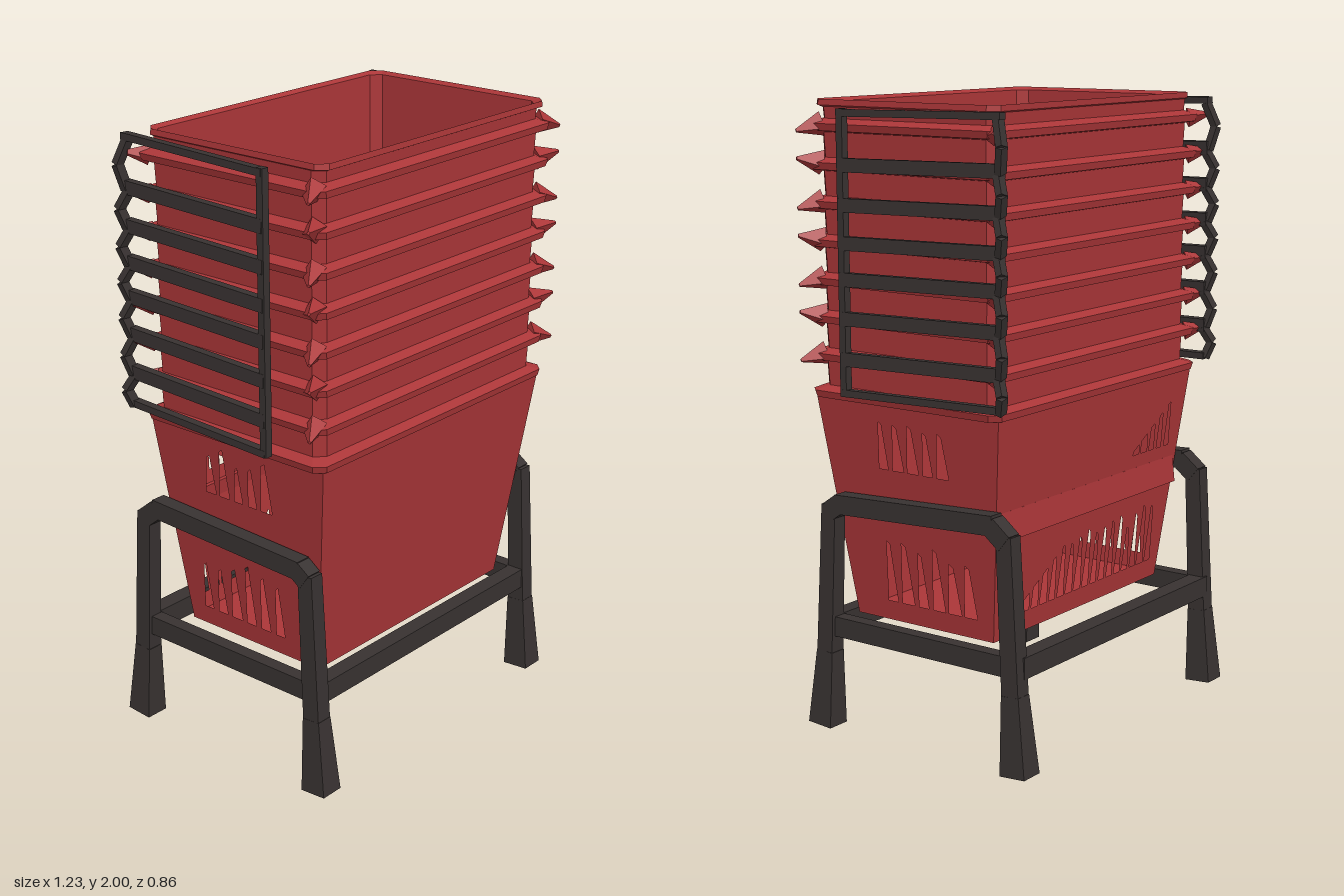
import * as THREE from 'three';

const red = new THREE.MeshStandardMaterial({ name: 'basketRed', color: 0xab3638, side: THREE.DoubleSide, flatShading: true });
const dark = new THREE.MeshStandardMaterial({ name: 'frameBlack', color: 0x383231, side: THREE.DoubleSide, flatShading: true });

const V = (x, y, z) => new THREE.Vector3(x, y, z);
const UP = V(0, 1, 0);

let seed = 7;
function rand() {
  seed = (seed * 16807) % 2147483647;
  return seed / 2147483647;
}

function add(group, name, geometry, material) {
  const mesh = new THREE.Mesh(geometry, material);
  mesh.name = name;
  group.add(mesh);
  return mesh;
}

// Four-sided bar from a to b; w is its local x width, d its local z depth
function beam(group, name, a, b, w, d, material, taper = 1) {
  const dir = b.clone().sub(a);
  const geo = new THREE.CylinderGeometry(Math.SQRT1_2 * taper, Math.SQRT1_2, dir.length(), 4).rotateY(Math.PI / 4);
  geo.scale(w, 1, d);
  const mesh = add(group, name, geo, material);
  mesh.quaternion.setFromUnitVectors(UP, dir.normalize());
  mesh.position.copy(a).add(b).multiplyScalar(0.5);
  return mesh;
}

// Surface through chamfered rectangles given as [y, halfX, backZ, frontZ]
function loft(levels, chamfer = 0.03) {
  const loops = levels.map(([y, x, b, f]) => [
    [x - chamfer, f], [x, f - chamfer], [x, b + chamfer], [x - chamfer, b],
    [-x + chamfer, b], [-x, b + chamfer], [-x, f - chamfer], [-x + chamfer, f],
  ].map(([px, pz]) => [px, y, pz]));
  const pos = [];
  for (let i = 0; i + 1 < loops.length; i++) {
    for (let j = 0; j < 8; j++) {
      const k = (j + 1) % 8;
      const [a, b, c, d] = [loops[i][j], loops[i][k], loops[i + 1][k], loops[i + 1][j]];
      pos.push(...a, ...b, ...c, ...a, ...c, ...d);
    }
  }
  const geo = new THREE.BufferGeometry();
  geo.setAttribute('position', new THREE.Float32BufferAttribute(pos, 3));
  geo.computeVertexNormals();
  return geo;
}

// A row of irregular pointed slits: [from u, to u, low y, high y, count]
function slits([u0, u1, y0, y1, n]) {
  const step = (u1 - u0) / n;
  return Array.from({ length: n }, (_, i) => {
    const u = u0 + (i + 0.5) * step, w = step * (0.28 + 0.14 * rand());
    const top = y1 - (y1 - y0) * 0.3 * rand();
    return new THREE.Path([
      new THREE.Vector2(u - w, y0), new THREE.Vector2(u + w, y0),
      new THREE.Vector2(u + w * 0.4, top), new THREE.Vector2(u - w * 0.2, top - 0.01),
    ]);
  });
}

const Y0 = 0.37, Y1 = 1.08;
const rise = (y) => (y - Y0) / (Y1 - Y0);

// Sloping wall with slits, laid out as (u, y) and then placed by a rule
function wall(group, name, low, high, rows, place) {
  const shape = new THREE.Shape([
    new THREE.Vector2(low[0], Y0), new THREE.Vector2(low[1], Y0),
    new THREE.Vector2(high[1], Y1), new THREE.Vector2(high[0], Y1),
  ]);
  rows.forEach((row) => shape.holes.push(...slits(row)));
  const geo = new THREE.ShapeGeometry(shape);
  const p = geo.attributes.position;
  for (let i = 0; i < p.count; i++) p.setXYZ(i, ...place(p.getX(i), p.getY(i), rise(p.getY(i))));
  geo.computeVertexNormals();
  add(group, name, geo, red);
}

function bottomBasket() {
  const g = new THREE.Group();
  g.name = 'bottomBasket';
  wall(g, 'frontWall', [-0.46, 0.46], [-0.54, 0.54],
    [[-0.34, 0.3, 0.43, 0.58, 12], [-0.17, -0.04, 0.93, 1.04, 3], [0.04, 0.22, 0.93, 1.04, 4],
      [-0.45, -0.38, 0.52, 0.85, 2], [0.38, 0.45, 0.52, 0.8, 2]],
    (u, y, t) => [u, y, 0.31 + 0.09 * t]);
  wall(g, 'backWall', [-0.46, 0.46], [-0.54, 0.54],
    [[-0.42, 0.42, 0.43, 0.64, 18], [-0.46, 0.46, 0.83, 1.04, 20]],
    (u, y, t) => [u, y, -0.23 - 0.08 * t]);
  for (const s of [-1, 1]) {
    wall(g, 'sideWall', [-0.23, 0.31], [-0.31, 0.4],
      [[-0.18, 0.19, 0.43, 0.66, 6], [-0.11, 0.18, 0.87, 1.04, 5]],
      (u, y, t) => [s * (0.46 + 0.08 * t), y, u]);
  }
  const floor = add(g, 'floor', new THREE.BoxGeometry(0.92, 0.01, 0.54), red);
  floor.position.set(0, Y0, 0.04);
  const band = add(g, 'backBand', new THREE.BoxGeometry(0.98, 0.09, 0.012), red);
  band.position.set(0, 0.74, -0.276);
  band.rotation.x = 0.11;
  return g;
}

function basketStack() {
  const g = new THREE.Group();
  g.name = 'nestedBaskets';
  const step = 0.118;
  for (let i = 0; i < 8; i++) {
    const y = 1.08 + i * step, last = i === 7;
    // Flared lip followed by the visible collar of the basket above
    add(g, 'rim', loft([
      [y - 0.005, 0.535, -0.295, 0.38],
      [y, 0.562, -0.318, 0.408],
      [y + 0.022, 0.568, -0.322, 0.412],
      [y + 0.036, 0.532, -0.292, 0.382],
      [y + (last ? 0.08 : step - 0.005), 0.535, -0.295, 0.385],
    ]), red);
    // Pointed corner tabs
    if (i > 0) {
      for (const s of [-1, 1]) {
        beam(g, 'cornerTab', V(s * 0.535, y + 0.02, 0.365), V(s * 0.605, y + (i % 2 ? 0.0 : 0.035), 0.405), 0.06, 0.05, red, 0.15);
        beam(g, 'rearTab', V(s * 0.53, y + 0.01, -0.29), V(s * 0.58, y + 0.02, -0.33), 0.05, 0.04, red, 0.3);
      }
    }
  }
  add(g, 'topRim', loft([
    [1.975, 0.53, -0.29, 0.385], [1.982, 0.542, -0.3, 0.402],
    [2.0, 0.54, -0.3, 0.4], [1.99, 0.525, -0.285, 0.38],
  ]), red);
  add(g, 'innerLining', loft([[1.09, 0.513, -0.265, 0.36], [1.99, 0.525, -0.285, 0.38]]), red);
  return g;
}

function sideHandles(s) {
  const g = new THREE.Group();
  g.name = s > 0 ? 'leftHandles' : 'rightHandles';
  const heights = [1.115, 1.22, 1.345, 1.465, 1.575, 1.69, 1.81, 1.965];
  heights.forEach((y, i) => {
    const thick = i === 0 || i === 7 ? 0.022 : 0.042;
    beam(g, 'handleBar', V(s * 0.598, y, 0.235), V(s * 0.572, y + 0.008, -0.35), 0.03, thick, dark);
    // Crooked rear arms joining neighbouring handles
    if (i < 7) {
      const mid = (y + heights[i + 1]) / 2;
      beam(g, 'rearArm', V(s * 0.575, y, -0.345), V(s * 0.592, mid, -0.362), 0.03, 0.022, dark);
      beam(g, 'rearArm', V(s * 0.592, mid, -0.362), V(s * 0.572, heights[i + 1], -0.335), 0.03, 0.022, dark);
    }
  });
  beam(g, 'frontPost', V(s * 0.598, 1.105, 0.228), V(s * 0.598, 1.978, 0.228), 0.026, 0.024, dark);
  return g;
}

function stand() {
  const g = new THREE.Group();
  g.name = 'stand';
  for (const s of [-1, 1]) {
    const x = s * 0.538;
    // Legs with flared feet
    for (const [f, zTop, yTop] of [[1, 0.343, 0.735], [-1, -0.342, 0.74]]) {
      const knee = V(x, 0.25, f * 0.368);
      beam(g, 'foot', V(x, 0, f * 0.385), knee, 0.08, 0.092, dark, 0.7);
      beam(g, 'leg', knee, V(x, yTop, zTop), 0.055, 0.062, dark, 0.9);
    }
    // Bent top rail
    beam(g, 'railBend', V(x, 0.715, 0.343), V(x, 0.745, 0.3), 0.052, 0.062, dark);
    beam(g, 'topRail', V(x, 0.742, 0.315), V(x, 0.768, -0.3), 0.052, 0.062, dark);
    beam(g, 'railBend', V(x, 0.768, -0.285), V(x, 0.72, -0.345), 0.052, 0.062, dark);
    beam(g, 'sideRail', V(x * 0.985, 0.335, 0.36), V(x * 0.985, 0.335, -0.365), 0.045, 0.065, dark);
  }
  beam(g, 'frontCrossbar', V(-0.53, 0.335, 0.362), V(0.53, 0.335, 0.362), 0.068, 0.055, dark);
  beam(g, 'backCrossbar', V(-0.53, 0.335, -0.368), V(0.53, 0.335, -0.368), 0.068, 0.06, dark);
  return g;
}

export function createModel() {
  const model = new THREE.Group();
  model.name = 'basketStackOnStand';
  model.add(stand(), bottomBasket(), basketStack(), sideHandles(1), sideHandles(-1));
  return model;
}
